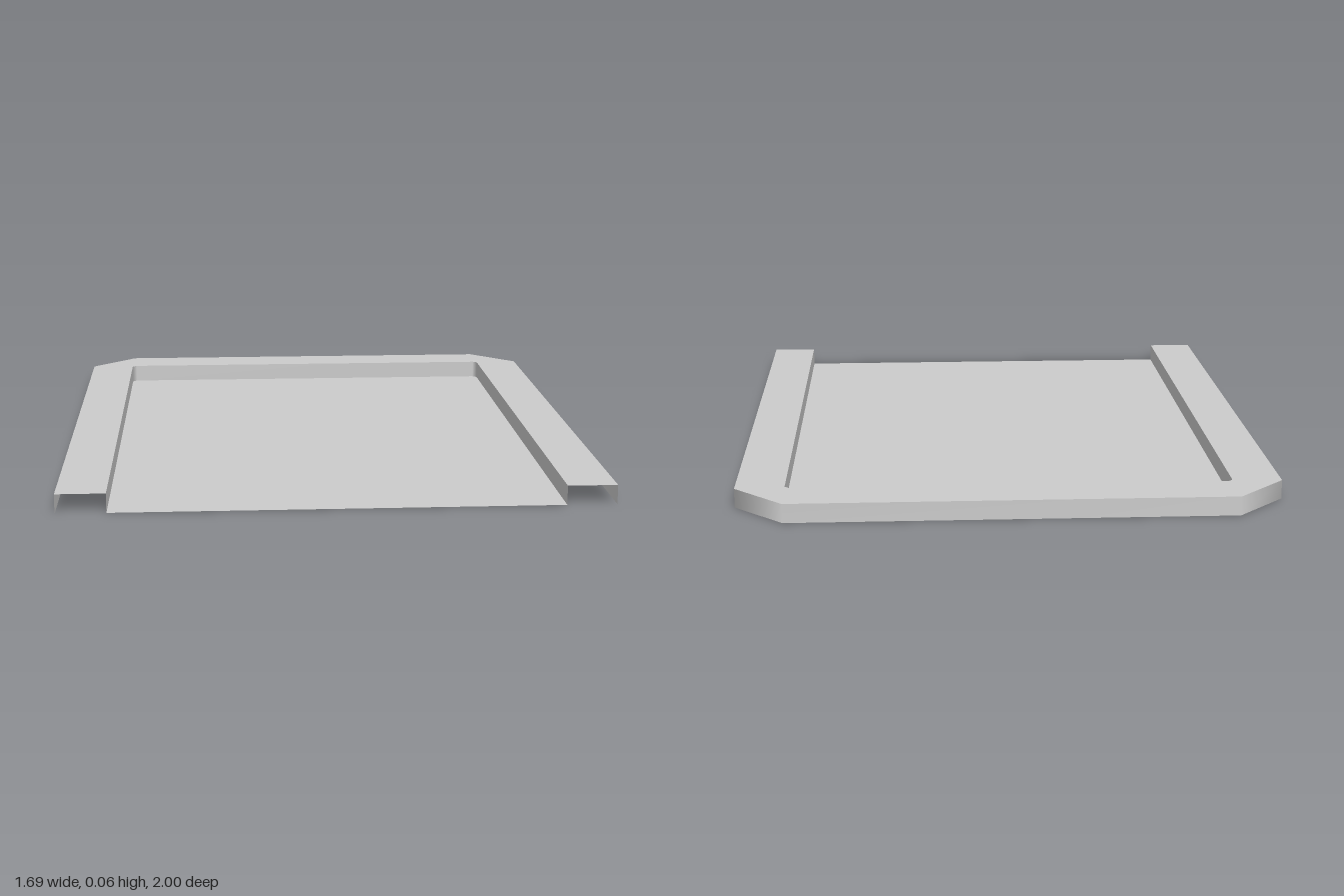
import * as THREE from 'three';

const HEIGHT = 0.06;

export function createModel() {
  const group = new THREE.Group();
  group.name = 'tray';
  const material = new THREE.MeshStandardMaterial({ color: 0xcccccc, side: THREE.DoubleSide });

  // U-shaped plan outline [x, z], from the left front corner round the back to the right
  const outline = (halfWidth, back, cut) => [
    [halfWidth, 1], [halfWidth, back + cut], [halfWidth - cut, back],
    [cut - halfWidth, back], [-halfWidth, back + cut], [-halfWidth, 1],
  ];
  const outer = outline(0.845, -1, 0.155);
  const inner = outline(0.692, -0.847, 0.015);

  const add = (name, geometry) => {
    const mesh = new THREE.Mesh(geometry, material);
    mesh.name = name;
    group.add(mesh);
  };

  // Flat sheet facing up at height y
  const sheet = (points, y) => {
    const shape = new THREE.Shape(points.map(([x, z]) => new THREE.Vector2(x, -z)));
    return new THREE.ShapeGeometry(shape).rotateX(-Math.PI / 2).translate(0, y, 0);
  };

  // Upright strip along an outline, smooth around its corners
  const wall = (points) => {
    const positions = [];
    const index = [];
    points.forEach(([x, z], i) => {
      positions.push(x, 0, z, x, HEIGHT, z);
      if (i > 0) {
        const a = 2 * i - 2;
        index.push(a, a + 2, a + 3, a, a + 3, a + 1);
      }
    });
    const geometry = new THREE.BufferGeometry();
    geometry.setAttribute('position', new THREE.Float32BufferAttribute(positions, 3));
    geometry.setIndex(index);
    geometry.computeVertexNormals();
    return geometry;
  };

  const innerReversed = [...inner].reverse();
  add('floor', sheet(inner, 0));
  add('rim', sheet([...outer, ...innerReversed], HEIGHT));
  add('outerWall', wall(outer));
  add('innerWall', wall(innerReversed));

  return group;
}
